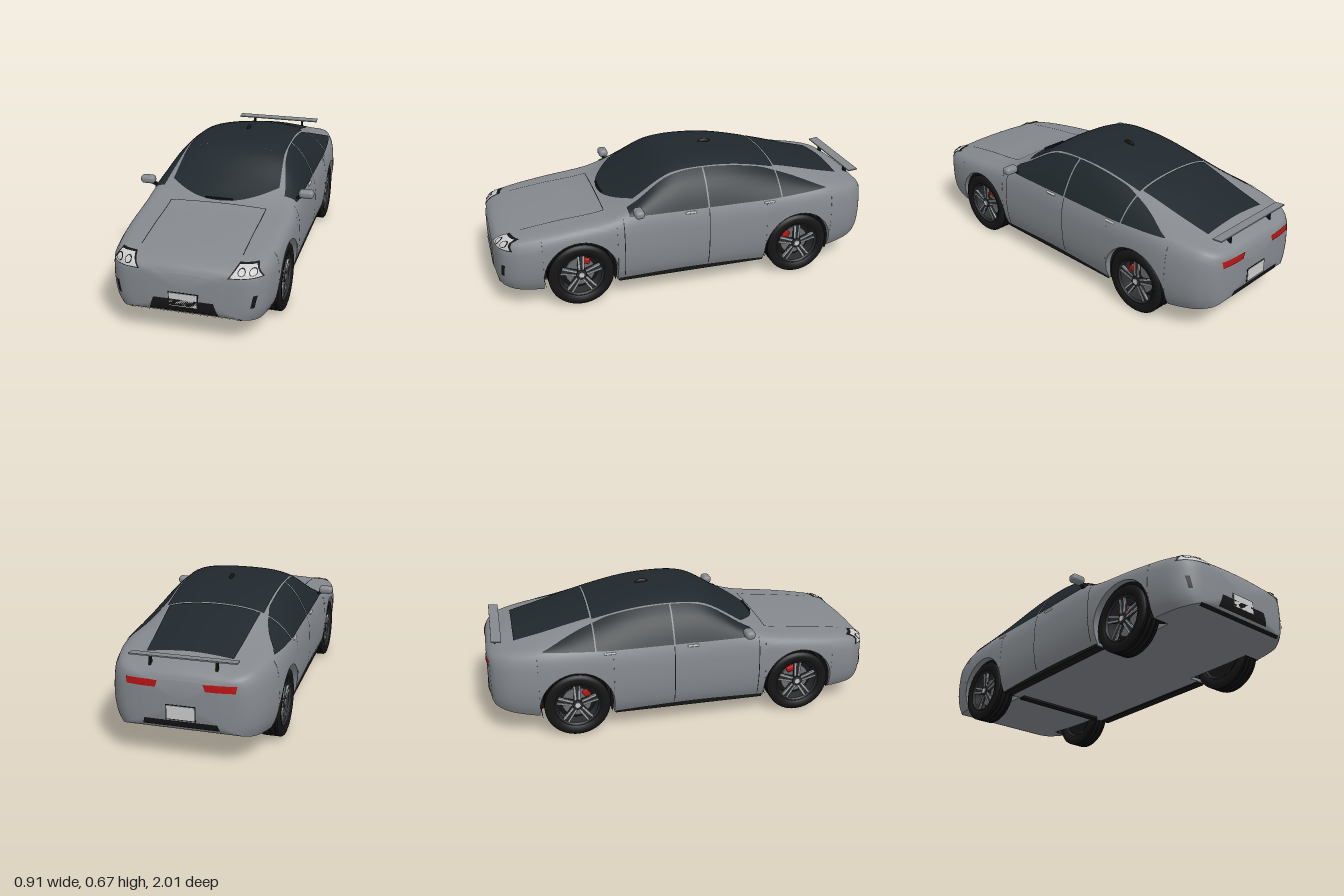
import * as THREE from 'three';
import { toCreasedNormals } from 'three/addons/utils/BufferGeometryUtils.js';
import { RoundedBoxGeometry } from 'three/addons/geometries/RoundedBoxGeometry.js';

const PAINT = 0x85898e, GLASS = 0x20282d, BLACK = 0x151515, RED = 0xb81414, LIGHT = 0xcccccc;
const material = (color) => new THREE.MeshStandardMaterial({ color, side: THREE.DoubleSide });
const lerp = THREE.MathUtils.lerp;

// Body stations: z, floor y, half width, its y, belt x, belt y, roof edge x, roof edge y, centre top y
const STATIONS = [
  [1.0, 0.17, 0.17, 0.25, 0.155, 0.315, 0.08, 0.328, 0.333],
  [0.985, 0.135, 0.27, 0.25, 0.255, 0.335, 0.15, 0.352, 0.358],
  [0.95, 0.118, 0.33, 0.25, 0.315, 0.352, 0.2, 0.371, 0.377],
  [0.88, 0.108, 0.37, 0.27, 0.348, 0.367, 0.22, 0.387, 0.393],
  [0.68, 0.1, 0.396, 0.28, 0.37, 0.392, 0.25, 0.413, 0.419],
  [0.44, 0.1, 0.401, 0.29, 0.376, 0.42, 0.25, 0.44, 0.448],
  [0.3, 0.1, 0.4, 0.29, 0.378, 0.443, 0.283, 0.495, 0.527],
  [0.12, 0.1, 0.398, 0.29, 0.378, 0.447, 0.262, 0.597, 0.632],
  [-0.02, 0.1, 0.398, 0.29, 0.378, 0.447, 0.252, 0.622, 0.654],
  [-0.25, 0.1, 0.401, 0.29, 0.378, 0.449, 0.247, 0.611, 0.642],
  [-0.5, 0.1, 0.405, 0.3, 0.378, 0.452, 0.238, 0.56, 0.591],
  [-0.72, 0.113, 0.398, 0.3, 0.367, 0.452, 0.23, 0.501, 0.528],
  [-0.88, 0.133, 0.362, 0.3, 0.335, 0.436, 0.215, 0.463, 0.481],
  [-0.95, 0.15, 0.32, 0.3, 0.298, 0.42, 0.2, 0.443, 0.454],
  [-0.987, 0.172, 0.265, 0.3, 0.245, 0.402, 0.15, 0.421, 0.428],
  [-1.0, 0.21, 0.18, 0.3, 0.165, 0.385, 0.1, 0.398, 0.402],
];
const WHEEL_Y = 0.166, ARCH = 0.186, AXLES = [0.59, -0.575];

// Smooth interpolation between body stations
function bodyAt(z) {
  const S = STATIONS, n = S.length - 1;
  let i = 0;
  while (i < n - 1 && z < S[i + 1][0]) i++;
  const h = S[i + 1][0] - S[i][0], t = (z - S[i][0]) / h;
  const slope = (k, c) => {
    const a = S[Math.max(k - 1, 0)], b = S[Math.min(k + 1, n)];
    return (b[c] - a[c]) / (b[0] - a[0]);
  };
  return S[i].map((p, c) => {
    const q = S[i + 1][c], t2 = t * t, t3 = t2 * t;
    return (2 * t3 - 3 * t2 + 1) * p + (3 * t2 - 2 * t3) * q
      + h * ((t3 - 2 * t2 + t) * slope(i, c) + (t3 - t2) * slope(i + 1, c));
  });
}

// Closed cross-section of the body, cut away by the wheel arches
function section(z) {
  const [, b, w, yw, xb, yb, xr, yr, yt] = bodyAt(z);
  const curve = new THREE.SplineCurve([
    [w * 0.91, b], [w * 0.975, lerp(b, yw, 0.35)], [w, yw], [xb, yb], [xr, yr], [0, yt], [-xr, yr],
  ].map((p) => new THREE.Vector2(...p)));
  let arch = b;
  for (const c of AXLES) {
    const d = z - c;
    if (Math.abs(d) < ARCH) arch = Math.max(b, WHEEL_Y + Math.sqrt(ARCH * ARCH - d * d));
  }
  let lo = 0, hi = 0.5;
  for (let k = 0; arch > b && k < 24; k++) {
    const m = (lo + hi) / 2;
    if (curve.getPoint(m).y < arch) lo = m; else hi = m;
  }
  const inner = Math.min(0.265, w * 0.75), half = [[0, b], [inner, b], [inner, arch]];
  for (let k = 0; k <= 10; k++) half.push(curve.getPoint(lerp(lo, 0.5, k / 10)).toArray());
  for (let k = 1; k <= 14; k++) half.push(curve.getPoint(lerp(0.5, 5 / 6, k / 14)).toArray());
  half[half.length - 1][0] = 0;
  return half.concat(half.slice(1, -1).reverse().map(([x, y]) => [-x, y]));
}

function bodyGeometry() {
  let zs = [];
  for (let k = 0; k <= 84; k++) zs.push(Math.cos((Math.PI * k) / 84));
  zs = zs.filter((z) => AXLES.every((c) => Math.abs(z - c) > ARCH * 1.01));
  for (const c of AXLES) {
    zs.push(c + ARCH * 1.002, c - ARCH * 1.002);
    for (let k = 0; k <= 20; k++) zs.push(c + ARCH * 0.9999 * Math.cos((Math.PI * k) / 20));
  }
  zs.sort((a, b) => b - a);
  const rings = zs.map((z) => section(z).map(([x, y]) => [x, y, z]));
  rings.unshift(rings[0].map(() => [0, 0.25, 1]));
  rings.push(rings[0].map(() => [0, 0.3, -1]));
  const n = rings[0].length, index = [];
  for (let i = 0; i < rings.length - 1; i++) {
    for (let j = 0; j < n; j++) {
      const a = i * n + j, b = i * n + ((j + 1) % n);
      index.push(a, a + n, b, b, a + n, b + n);
    }
  }
  const geo = new THREE.BufferGeometry();
  geo.setAttribute('position', new THREE.Float32BufferAttribute(rings.flat(2), 3));
  geo.setIndex(index);
  return toCreasedNormals(geo, 0.6);
}

export function createModel() {
  const car = new THREE.Group();
  car.name = 'car';
  const add = (name, geo, color, x = 0, y = 0, z = 0, parent = car) => {
    const mesh = new THREE.Mesh(geo, material(color));
    mesh.name = name;
    mesh.position.set(x, y, z);
    parent.add(mesh);
    return mesh;
  };
  const box = (w, h, d) => new THREE.BoxGeometry(w, h, d);
  const body = add('body', bodyGeometry(), PAINT);

  // Thin panel laid on the body: f(u, v) gives a point in the view plane, which is projected on
  const ray = new THREE.Raycaster(), from = new THREE.Vector3(), dir = new THREE.Vector3();
  function panel(name, view, color, f, { nu = 8, nv = 4, lift = 0.004, sides = [1] } = {}) {
    for (const s of sides) {
      const geo = new THREE.PlaneGeometry(1, 1, nu, nv), pos = geo.attributes.position;
      let last = null;
      for (let i = 0; i < pos.count; i++) {
        const [a, b] = f(pos.getX(i) + 0.5, pos.getY(i) + 0.5);
        if (view === 'side') { from.set(2 * s, b, a); dir.set(-s, 0, 0); }
        else if (view === 'top') { from.set(a * s + 1e-5, 2, b); dir.set(0, -1, 0); }
        else { const e = view === 'front' ? 1 : -1; from.set(a * s + 1e-5, b, 2 * e); dir.set(0, 0, -e); }
        ray.set(from, dir);
        const hit = ray.intersectObject(body)[0];
        if (hit) {
          last = hit.point.clone();
          const out = hit.face.normal.dot(dir) > 0 ? -lift : lift;
          last.addScaledVector(hit.face.normal, out);
        }
        if (last) pos.setXYZ(i, last.x, last.y, last.z);
      }
      geo.computeVertexNormals();
      add(name, geo, color).name = sides.length > 1 ? name + (s > 0 ? 'Left' : 'Right') : name;
    }
  }
  const both = { sides: [1, -1] };
  const quad = (x0, x1, y0, X0, X1, y1) => (u, v) => [lerp(lerp(x0, x1, u), lerp(X0, X1, u), v), lerp(y0, y1, v)];
  const disc = (x, y, rx, ry) => (u, v) => [x + rx * v * Math.cos(u * 2 * Math.PI), y + ry * v * Math.sin(u * 2 * Math.PI)];

  // Windscreen, roof and rear window
  panel('windscreen', 'top', GLASS, (u, v) => {
    const s = 2 * u - 1;
    return [s * lerp(0.278, 0.258, v), lerp(0.425 - 0.13 * s * s, 0.1, v)];
  }, { nu: 18, nv: 12 });
  panel('roofPanel', 'top', GLASS, (u, v) => [(2 * u - 1) * lerp(0.258, 0.243, v), lerp(0.1, -0.47, v)], { nu: 16, nv: 16 });
  panel('rearWindow', 'top', GLASS, (u, v) => [(2 * u - 1) * lerp(0.23, 0.205, v), lerp(-0.478, -0.86, v)], { nu: 14, nv: 12 });

  // Side windows follow the roof edge
  for (const [name, z0, z1] of [['frontWindow', 0.335, -0.072], ['rearSideWindow', -0.08, -0.47], ['quarterWindow', -0.477, -0.73]]) {
    panel(name, 'side', GLASS, (u, v) => {
      const z = lerp(z0, z1, u), low = 0.447 + Math.max(0, -0.4 - z) * 0.04;
      const high = bodyAt(z)[7] - 0.006 - Math.max(0, -0.4 - z) * 0.09;
      return [z, lerp(low, Math.max(low + 0.003, high), v)];
    }, { nu: 14, nv: 7, ...both });
  }

  // Door and bonnet seams
  for (const z of [0.37, -0.075]) {
    panel('doorSeam', 'side', BLACK, quad(z, z - 0.004, 0.13, z, z - 0.004, 0.44), { nu: 1, nv: 14, lift: 0.0015, ...both });
  }
  panel('bonnetSideSeam', 'top', BLACK, quad(0.238, 0.242, 0.86, 0.242, 0.246, 0.44), { nu: 1, nv: 14, lift: 0.0015, ...both });
  panel('bonnetRearSeam', 'top', BLACK, quad(-0.245, 0.245, 0.442, -0.245, 0.245, 0.438), { nu: 16, nv: 1, lift: 0.0015 });

  // Headlights with two round lenses each
  panel('headlightFrame', 'front', BLACK, quad(0.203, 0.352, 0.332, 0.24, 0.32, 0.38), { lift: 0.002, ...both });
  panel('headlight', 'front', LIGHT, quad(0.213, 0.344, 0.336, 0.245, 0.315, 0.376), { lift: 0.004, ...both });
  for (const x of [0.262, 0.308]) {
    panel('lensRing', 'front', BLACK, disc(x, 0.356, 0.017, 0.013), { nu: 16, nv: 1, lift: 0.006, ...both });
    panel('lens', 'front', 0xe4e4e4, disc(x, 0.356, 0.013, 0.01), { nu: 16, nv: 1, lift: 0.0075, ...both });
  }

  // Front grille, slot, vents and plate
  panel('grille', 'front', BLACK, quad(-0.162, 0.162, 0.143, -0.14, 0.14, 0.205), { nu: 14, lift: 0.003 });
  panel('lowerSlot', 'front', BLACK, quad(-0.262, 0.262, 0.123, -0.262, 0.262, 0.133), { nu: 18, nv: 1 });
  panel('bumperVent', 'front', BLACK, quad(0.3, 0.316, 0.19, 0.312, 0.328, 0.25), { nu: 2, nv: 4, ...both });

  // Tail lights and rear diffuser
  panel('tailLight', 'back', RED, quad(0.115, 0.25, 0.365, 0.105, 0.255, 0.397), both);
  panel('rearDiffuser', 'back', BLACK, quad(-0.18, 0.18, 0.182, -0.17, 0.17, 0.212), { nu: 14 });

  // Number plates
  for (const [name, y, z] of [['frontPlate', 0.203, 0.999], ['rearPlate', 0.25, -0.999]]) {
    add(name + 'Frame', box(0.14, 0.072, 0.008), BLACK, 0, y, z * 0.998);
    add(name, box(0.13, 0.063, 0.008), LIGHT, 0, y, z);
  }

  // Spoiler, roof fin, wiper
  add('spoiler', box(0.5, 0.006, 0.05), PAINT, 0, 0.492, -0.945).rotation.x = 0.1;
  add('roofFin', new THREE.SphereGeometry(1, 16, 10).scale(0.009, 0.02, 0.035), BLACK, 0, 0.652, -0.17);
  add('wiper', box(0.14, 0.008, 0.008), BLACK, 0, 0.464, 0.415);
  add('rearCrossBar', box(0.52, 0.016, 0.04), BLACK, 0, 0.096, -0.37);

  // Paired side fittings
  for (const s of [1, -1]) {
    add('spoilerPost', box(0.01, 0.05, 0.02), BLACK, s * 0.155, 0.468, -0.945);
    add('mirrorHousing', new RoundedBoxGeometry(0.076, 0.042, 0.05, 4, 0.018), PAINT, s * 0.417, 0.485, 0.3);
    add('mirrorStalk', box(0.05, 0.014, 0.02), BLACK, s * 0.379, 0.463, 0.3).rotation.z = s * 0.5;
    add('sill', box(0.05, 0.024, 0.78), BLACK, s * 0.345, 0.106, 0.007);
    for (const z of [0.02, -0.405]) add('doorHandle', new RoundedBoxGeometry(0.012, 0.011, 0.06, 2, 0.005), LIGHT, s * 0.384, 0.434, z);
  }

  // Wheels: axis along x, outer face towards +x
  const turn = (points, n = 48) => new THREE.LatheGeometry(points.map((p) => new THREE.Vector2(...p)), n).rotateZ(-Math.PI / 2);
  const sidewall = [[0.116, 0.046], [0.125, 0.053], [0.145, 0.055], [0.158, 0.051], [0.166, 0.042]];
  const grooves = [0.027, 0, -0.027].flatMap((a) => [[0.166, a + 0.004], [0.16, a + 0.003], [0.16, a - 0.003], [0.166, a - 0.004]]);
  const tyre = [...sidewall, ...grooves, ...sidewall.slice().reverse().map(([r, a]) => [r, -a])].reverse();
  const tyreGeo = toCreasedNormals(turn(tyre), 0.7);
  const rimGeo = toCreasedNormals(turn([[0.114, -0.046], [0.104, -0.04], [0.104, 0.038], [0.112, 0.047], [0.118, 0.046]]), 0.7);
  const drum = (r, w, n = 32) => new THREE.CylinderGeometry(r, r, w, n).rotateZ(-Math.PI / 2);
  function wheel(s, z, caliperAngle) {
    const g = new THREE.Group();
    g.name = (z > 0 ? 'front' : 'rear') + (s > 0 ? 'Left' : 'Right') + 'Wheel';
    g.position.set(s * 0.336, WHEEL_Y, z);
    if (s < 0) g.rotation.y = Math.PI;
    add('tyre', tyreGeo, BLACK, 0, 0, 0, g);
    add('rim', rimGeo, 0x2b2d30, 0, 0, 0, g);
    add('wheelBack', drum(0.104, 0.006), BLACK, -0.03, 0, 0, g);
    add('brakeDisc', drum(0.076, 0.01), 0x6a6c6e, 0, 0, 0, g);
    add('hub', drum(0.026, 0.03, 20), 0x2b2d30, 0.028, 0, 0, g);
    add('hubCap', drum(0.014, 0.006, 16), LIGHT, 0.044, 0, 0, g);
    const caliper = add('brakeCaliper', new RoundedBoxGeometry(0.024, 0.028, 0.055, 2, 0.006), RED, 0.008,
      0.066 * Math.cos(caliperAngle), s * 0.066 * Math.sin(caliperAngle), g);
    caliper.rotation.x = s * caliperAngle;
    for (let k = 0; k < 5; k++) {
      const spoke = new THREE.Group();
      spoke.name = 'spoke';
      spoke.rotation.x = (k * 2 * Math.PI) / 5;
      g.add(spoke);
      add('spokeBase', box(0.012, 0.09, 0.034), 0x2b2d30, 0.03, 0.061, 0, spoke);
      for (const e of [-1, 1]) add('spokeBar', box(0.008, 0.078, 0.009), 0xa8aaac, 0.037, 0.066, e * 0.012, spoke).rotation.x = e * 0.06;
    }
    car.add(g);
    // Dark wheel-arch lining
    const open = 0.33, span = Math.PI + 2 * open;
    const liner = new THREE.CylinderGeometry(0.184, 0.184, 0.1, 32, 1, true, Math.PI - open, span).rotateZ(-Math.PI / 2);
    add('archLiner', liner, BLACK, s * 0.319, WHEEL_Y, z);
    add('archInnerWall', new THREE.CircleGeometry(0.184, 32, -open, span).rotateY(Math.PI / 2), BLACK, s * 0.27, WHEEL_Y, z);
  }
  for (const s of [1, -1]) {
    wheel(s, AXLES[0], -0.35);
    wheel(s, AXLES[1], 0.95);
  }
  return car;
}
